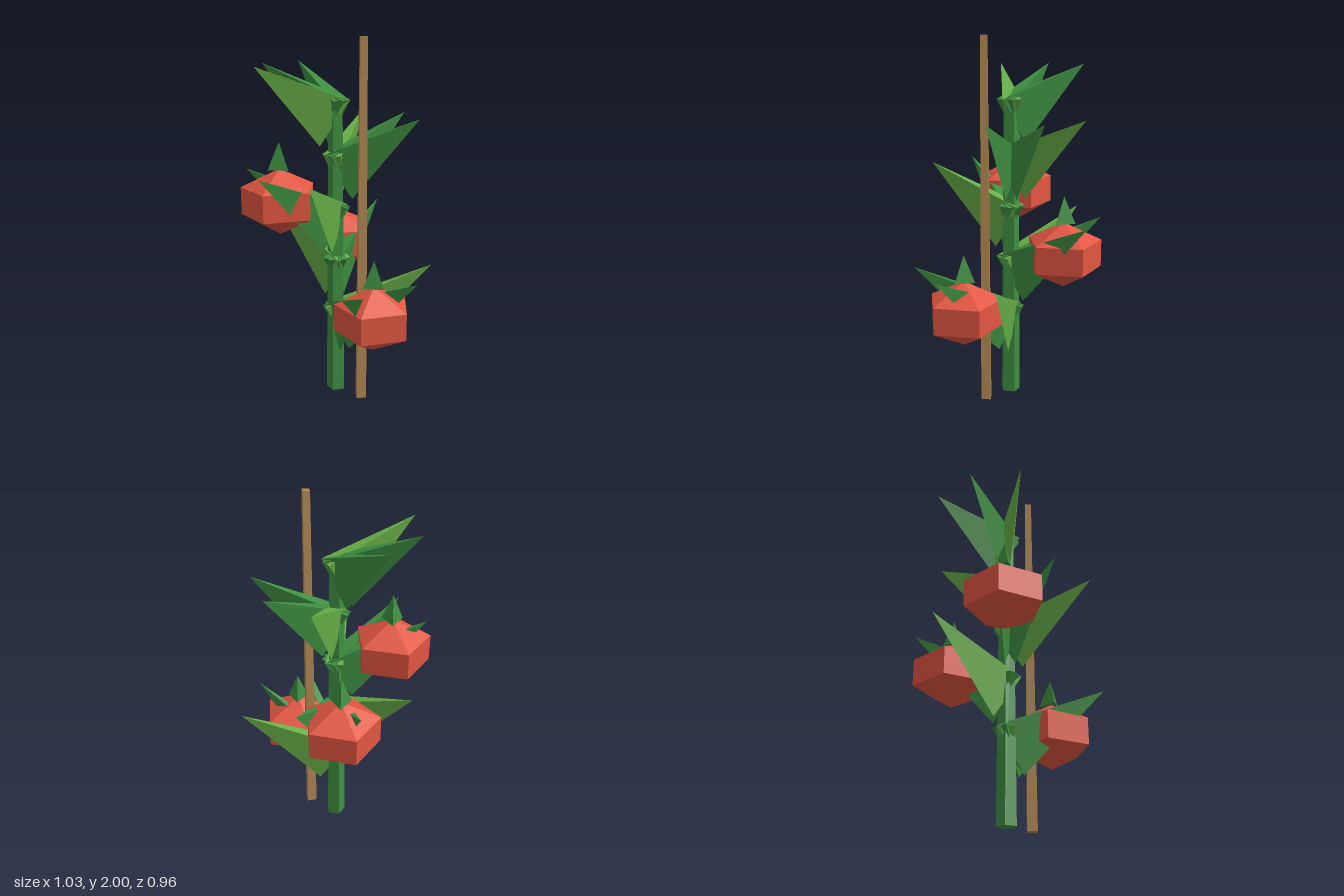
import * as THREE from 'three';

const mat = (name, color) => {
  const m = new THREE.MeshStandardMaterial({ color, flatShading: true });
  m.name = name;
  return m;
};

// Slender four-faced leaf: narrow ridge on top, deep keel below; local +x points outward
function leafGeometry(reach, rise) {
  const w = 0.05;
  const ridgeA = [-0.06, 0, -w], ridgeB = [-0.06, 0, w];
  const keel = [0.09, -0.245, 0], tip = [reach, rise, 0];
  const faces = [
    ridgeA, ridgeB, tip,
    ridgeB, keel, tip,
    ridgeA, tip, keel,
    ridgeA, keel, ridgeB,
  ];
  const g = new THREE.BufferGeometry();
  g.setAttribute('position', new THREE.Float32BufferAttribute(faces.flat(), 3));
  g.computeVertexNormals();
  return g;
}

export function createModel() {
  const model = new THREE.Group();
  model.name = 'fruitingPlant';
  const green = mat('leafGreen', 0x3f8f41);
  const light = mat('lightLeafGreen', 0x68b048);
  const red = mat('fruitRed', 0xe25641);
  const wood = mat('stakeWood', 0xb58a55);

  const add = (parent, name, geometry, material, x = 0, y = 0, z = 0) => {
    const mesh = new THREE.Mesh(geometry, material);
    mesh.name = name;
    mesh.position.set(x, y, z);
    parent.add(mesh);
    return mesh;
  };
  // Prism or cone with one corner toward +x
  const prism = (top, bottom, height, sides) =>
    new THREE.CylinderGeometry(top, bottom, height, sides, 1, false, Math.PI / 2);

  const axisX = -0.015, axisZ = 0.012;

  // Stem and support stake
  add(model, 'stem', prism(0.042, 0.055, 1.66, 5), green, axisX, 0.83, axisZ);
  add(model, 'stake', prism(0.026, 0.038, 2, 4), wood, 0.167, 1, 0.017);

  // Five whorls of three leaves, the first of each whorl lighter
  const headings = [-1, 223.4, 105, -69, 163.8];
  const reaches = [0.534, 0.5, 0.487, 0.444, 0.434];
  headings.forEach((heading, i) => {
    const whorl = new THREE.Group();
    whorl.name = 'leafWhorl' + (i + 1);
    const y = 0.51 + 0.29 * i;
    whorl.position.set(axisX, y, axisZ);
    const geometry = leafGeometry(reaches[i], 0.75 + 0.275 * i - y);
    [-38, 0, 38].forEach((spread, k) => {
      const leaf = add(whorl, 'leaf', geometry, k === 0 ? light : green);
      leaf.rotation.y = -THREE.MathUtils.degToRad(heading + spread);
    });
    model.add(whorl);
  });

  // Five-sided fruits, each with a pointed cap
  const profile = [[0, -0.187], [0.213, -0.075], [0.213, 0.075], [0, 0.18]]
    .map(([r, y]) => new THREE.Vector2(r, y));
  const fruitGeometry = new THREE.LatheGeometry(profile, 5, Math.PI / 2);
  const capGeometry = prism(0, 0.065, 0.15, 3);
  const fruits = [
    [0.282, 0.525, 0.063],
    [-0.195, 0.825, -0.224],
    [-0.243, 1.125, 0.216],
  ];
  fruits.forEach(([x, y, z], i) => {
    const fruit = new THREE.Group();
    fruit.name = 'fruit' + (i + 1);
    fruit.position.set(x, y, z);
    add(fruit, 'fruitBody', fruitGeometry, red);
    add(fruit, 'fruitCap', capGeometry, green, 0, 0.25, 0);
    model.add(fruit);
  });

  return model;
}
